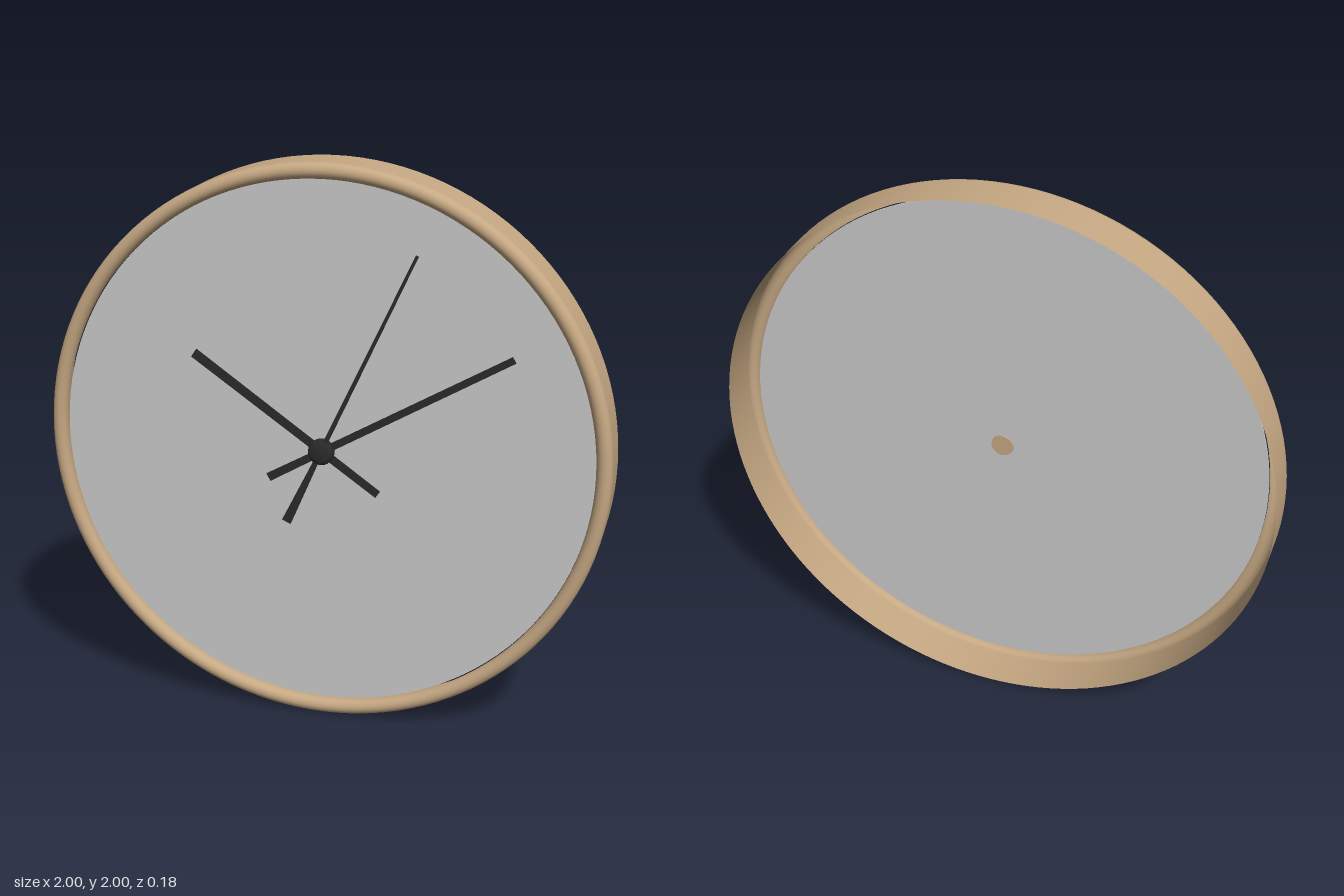
import * as THREE from 'three';

const wood = new THREE.MeshStandardMaterial({ color: 0xc6a883, side: THREE.DoubleSide });
wood.name = 'wood';
const grey = new THREE.MeshStandardMaterial({ color: 0xcacaca });
grey.name = 'face grey';
const black = new THREE.MeshStandardMaterial({ color: 0x2b2b2b });
black.name = 'hand black';

function add(group, name, geometry, material, z = 0) {
  const mesh = new THREE.Mesh(geometry, material);
  mesh.name = name;
  mesh.position.z = z;
  group.add(mesh);
  return mesh;
}

// Flat tapered bar lying along +x: from the tail, through the pivot, to the tip
function handGeometry(tail, tip, tailWidth, midWidth, tipWidth) {
  const shape = new THREE.Shape([
    [-tail, -tailWidth / 2], [0, -midWidth / 2], [tip, -tipWidth / 2],
    [tip, tipWidth / 2], [0, midWidth / 2], [-tail, tailWidth / 2],
  ].map(([x, y]) => new THREE.Vector2(x, y)));
  return new THREE.ExtrudeGeometry(shape, { depth: 0.005, bevelEnabled: false });
}

export function createModel() {
  const clock = new THREE.Group();
  clock.name = 'wallClock';
  const body = new THREE.Group();
  body.name = 'clockBody';
  body.position.y = 1;
  clock.add(body);

  // Thin hoop, open at the back, with a half-round lip at the front
  const wall = [new THREE.Vector2(1, -0.09), new THREE.Vector2(1, 0.0625)];
  const lip = [];
  for (let i = 0; i <= 12; i++) {
    const a = (i / 12) * Math.PI;
    lip.push(new THREE.Vector2(0.9725 + 0.0275 * Math.cos(a), 0.0625 + 0.0275 * Math.sin(a)));
  }
  add(body, 'hoopWall', new THREE.LatheGeometry(wall, 128).rotateX(Math.PI / 2), wood);
  add(body, 'hoopLip', new THREE.LatheGeometry(lip, 128).rotateX(Math.PI / 2), wood);

  // Dial plate and the pin end behind it
  const disc = (r, h, n) => new THREE.CylinderGeometry(r, r, h, n).rotateX(Math.PI / 2);
  add(body, 'dial', disc(0.945, 0.008, 128), grey, 0.048);
  add(body, 'rearPin', disc(0.04, 0.008, 32), wood, 0.042);

  // Hands, stacked from the dial outward
  const hands = [
    ['hourHand', [-0.46, 0.32], 0.245, [0.028, 0.03, 0.034]],
    ['minuteHand', [0.66, 0.38], 0.22, [0.03, 0.026, 0.024]],
    ['secondHand', [0.33, 0.71], 0.295, [0.034, 0.016, 0.01]],
  ];
  hands.forEach(([name, [x, y], tail, widths], i) => {
    const hand = add(body, name, handGeometry(tail, Math.hypot(x, y), ...widths), black, 0.058 + i * 0.008);
    hand.rotation.z = Math.atan2(y, x);
  });

  // Domed hub
  const hub = [[0.045, 0], [0.045, 0.026], [0.04, 0.033], [0.026, 0.037], [0, 0.039]]
    .map(([r, h]) => new THREE.Vector2(r, h));
  add(body, 'hub', new THREE.LatheGeometry(hub, 32).rotateX(Math.PI / 2), black, 0.05);

  return clock;
}
